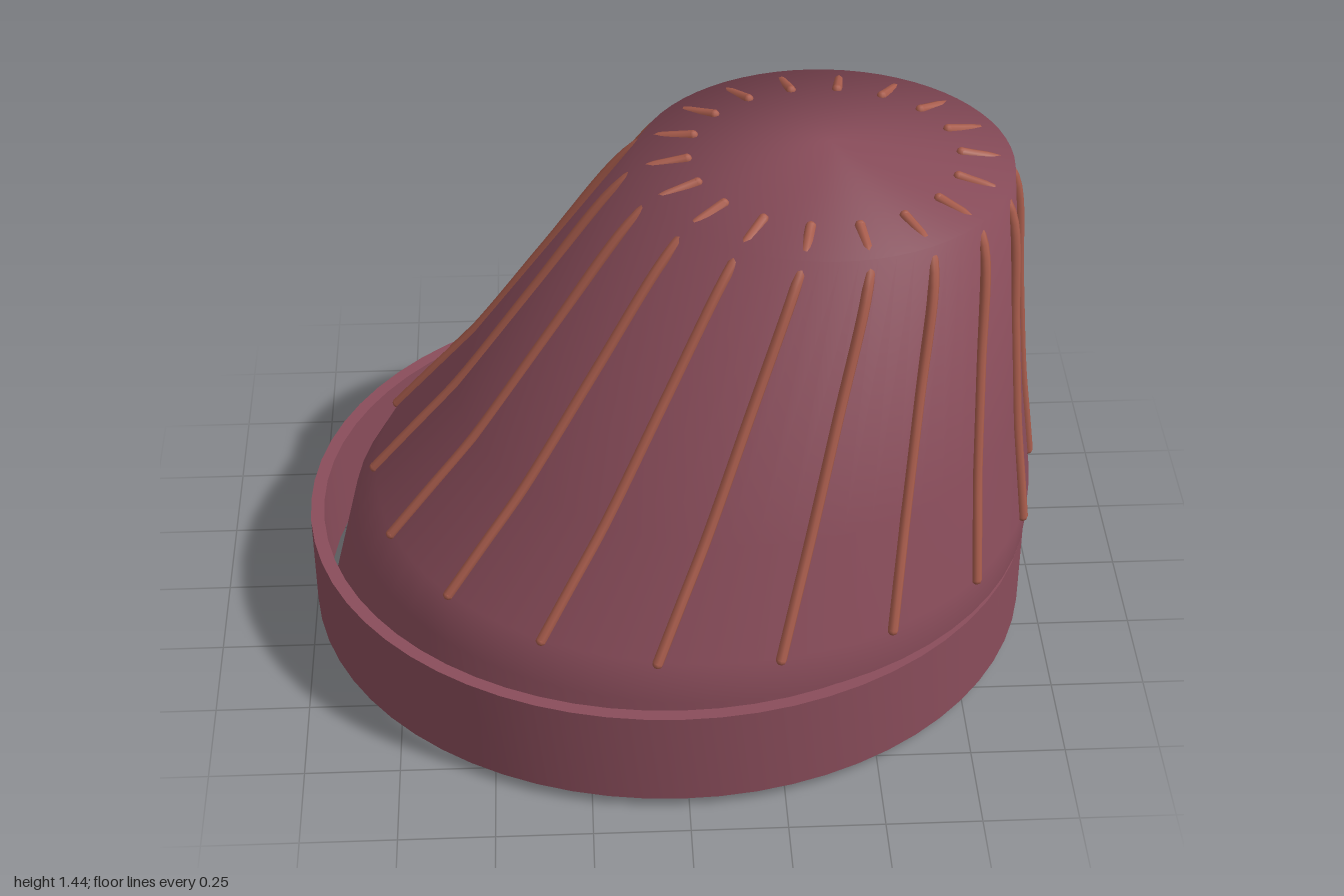
import * as THREE from 'three';
import { mergeVertices, toCreasedNormals } from 'three/addons/utils/BufferGeometryUtils.js';

// Elliptical cross-sections of the cap: [y, left x, right x, half depth]
const SECTIONS = [
  [0, -0.955, 0.92, 0.873],
  [0.31, -0.88, 0.97, 0.858],
  [0.42, -0.815, 0.972, 0.835],
  [0.7, -0.58, 0.935, 0.705],
  [1.378, -0.104, 0.872, 0.452],
];
const APEX = [0.4, 1.438];

// Point on the cap's surface at a height and angle, scaled about the section's centre
function surfacePoint(y, angle, scale = 1) {
  let i = 0;
  while (i < SECTIONS.length - 2 && y > SECTIONS[i + 1][0]) i++;
  const a = SECTIONS[i], b = SECTIONS[i + 1];
  const t = Math.min(1, (y - a[0]) / (b[0] - a[0]));
  const [left, right, depth] = [1, 2, 3].map((k) => THREE.MathUtils.lerp(a[k], b[k], t));
  return new THREE.Vector3(
    (left + right) / 2 + ((right - left) / 2) * scale * Math.cos(angle),
    y,
    depth * scale * Math.sin(angle)
  );
}

// Leaning shell, open below and closed by a shallow cone
function shellGeometry() {
  const profile = SECTIONS.map((s) => new THREE.Vector2(1, s[0]));
  profile.push(new THREE.Vector2(0, APEX[1]));
  let geometry = new THREE.LatheGeometry(profile, 64);
  const pos = geometry.attributes.position;
  for (let i = 0; i < pos.count; i++) {
    const y = pos.getY(i);
    if (y > 1.4) {
      pos.setXYZ(i, APEX[0], APEX[1], 0);
    } else {
      const p = surfacePoint(y, Math.atan2(pos.getZ(i), pos.getX(i)));
      pos.setXYZ(i, p.x, p.y, p.z);
    }
  }
  geometry.deleteAttribute('normal');
  geometry.deleteAttribute('uv');
  geometry = mergeVertices(geometry);
  geometry.computeVertexNormals();
  return geometry;
}

// Turned-up brim with a rectangular section
function brimGeometry() {
  const profile = [[0.963, 0.03], [1, 0.03], [1, 0.308], [0.963, 0.308], [0.963, 0.03]];
  const geometry = new THREE.LatheGeometry(profile.map((p) => new THREE.Vector2(...p)), 64);
  geometry.scale(0.983, 1, 0.915);
  geometry.translate(-0.017, 0, 0);
  return toCreasedNormals(geometry, Math.PI / 5);
}

export function createModel() {
  const model = new THREE.Group();
  model.name = 'knitCap';
  const wool = new THREE.MeshStandardMaterial({ color: 0x8a4d5b, side: THREE.DoubleSide });
  const yarn = new THREE.MeshStandardMaterial({ color: 0xa85c4c, side: THREE.DoubleSide });

  const add = (name, geometry, material, parent = model) => {
    const mesh = new THREE.Mesh(geometry, material);
    mesh.name = name;
    parent.add(mesh);
  };

  add('shell', shellGeometry(), wool);
  add('brim', brimGeometry(), wool);

  // Raised ribs; each dips under the rim and its tip shows through the crown
  const ribs = new THREE.Group();
  ribs.name = 'ribs';
  model.add(ribs);
  const count = 18;
  for (let i = 0; i < count; i++) {
    const angle = (i / count) * Math.PI * 2;
    const points = [0.42, 0.55, 0.7, 1.0, 1.3].map((y) => surfacePoint(y, angle, 1.005));
    points.push(surfacePoint(1.36, angle, 0.95));
    const tip = surfacePoint(1.378, angle, 0.72);
    tip.y = 1.394;
    points.push(tip);
    const path = new THREE.CatmullRomCurve3(points);
    add('rib', new THREE.TubeGeometry(path, 32, 0.014, 8), yarn, ribs);

    // Rounded ends
    for (const end of [points[0], tip]) {
      const cap = new THREE.SphereGeometry(0.014, 8, 6);
      cap.translate(end.x, end.y, end.z);
      add('ribEnd', cap, yarn, ribs);
    }
  }
  return model;
}
